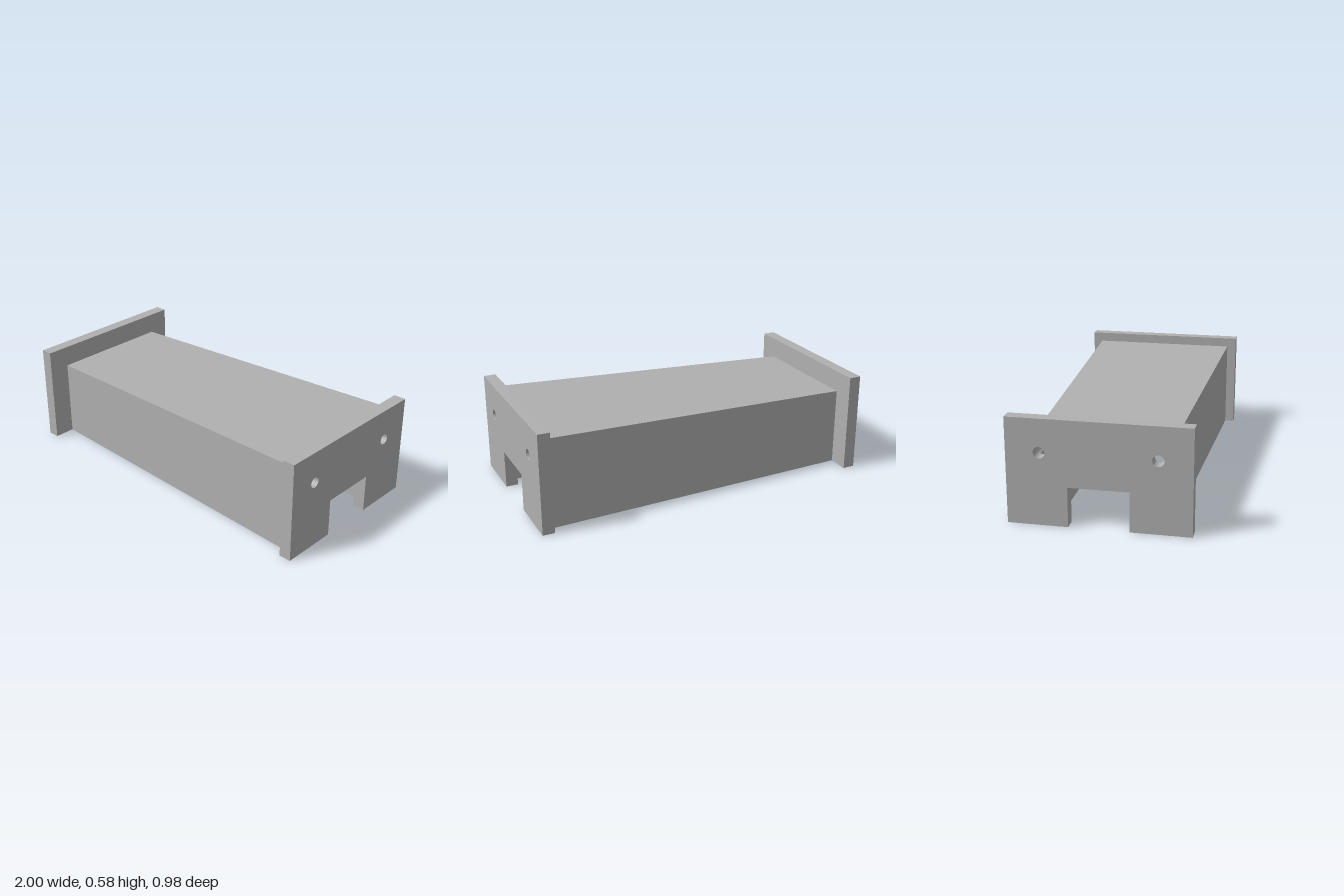
import * as THREE from 'three';
import { toCreasedNormals } from 'three/addons/utils/BufferGeometryUtils.js';

const END = 0.93;                 // inner face of the end plates
const DUCT = { z: 0.31, y: 0.4, r: 0.031 };
const LIP = 0.09;                 // thickness of the bottom flanges
const WALL = 0.045;
const halfWidth = x => 0.4 + 0.035 * x / END;
const topHeight = x => 0.4935 + 0.0335 * x / END;

// Half of the inner outline: wall, corner and ceiling, hollowed by the duct
function innerHalf(x) {
  const w = halfWidth(x) - WALL, h = topHeight(x) - WALL;
  const dz = w - DUCT.z, dy = h - DUCT.y;
  const corner = Math.atan2(dy, dz), n = 14;
  const points = [[w, LIP]];
  for (let i = 0; i <= 2 * n; i++) {
    const a = i <= n
      ? THREE.MathUtils.lerp(-1.2, corner, i / n)
      : THREE.MathUtils.lerp(corner, 2.8, (i - n) / n);
    const c = Math.cos(a), s = Math.sin(a);
    const reach = Math.min(c > 1e-6 ? dz / c : Infinity, s > 1e-6 ? dy / s : Infinity);
    const d = Math.max(DUCT.r, reach);
    points.push([DUCT.z + c * d, DUCT.y + s * d]);
  }
  return points;
}

// Closed tapered cross-section, lofted along x
function shellGeometry() {
  const steps = 24, position = [], index = [];
  let count = 0;
  for (let k = 0; k <= steps; k++) {
    const x = THREE.MathUtils.lerp(-END, END, k / steps);
    const inner = innerHalf(x), w = halfWidth(x), h = topHeight(x);
    const mirrored = inner.map(([z, y]) => [-z, y]).reverse();
    const ring = [...inner, ...mirrored, [-w, LIP], [-w, h], [w, h], [w, LIP]];
    count = ring.length;
    ring.forEach(([z, y]) => position.push(x, y, z));
  }
  for (let k = 0; k < steps; k++) {
    for (let i = 0; i < count; i++) {
      const a = k * count + i, b = k * count + (i + 1) % count;
      index.push(a, b, a + count, b, b + count, a + count);
    }
  }
  const geometry = new THREE.BufferGeometry();
  geometry.setAttribute('position', new THREE.Float32BufferAttribute(position, 3));
  geometry.setIndex(index);
  return toCreasedNormals(geometry, 0.5);
}

function circleHole(x, y, r) {
  return new THREE.Path().absarc(x, y, r, 0, Math.PI * 2, true);
}

function polygon(points) {
  return new THREE.Shape(points.map(([x, y]) => new THREE.Vector2(x, y)));
}

function extrude(shape, depth) {
  const geometry = new THREE.ExtrudeGeometry(shape, { depth, bevelEnabled: false, curveSegments: 16 });
  return toCreasedNormals(geometry, 0.6);
}

export function createModel() {
  const model = new THREE.Group();
  model.name = 'taperedBeam';
  const grey = new THREE.MeshStandardMaterial({ color: 0xb0b0b0 });
  grey.name = 'grey';
  const add = (geometry, name) => {
    const mesh = new THREE.Mesh(geometry, grey);
    mesh.name = name;
    model.add(mesh);
  };

  // Hollow tapered body
  add(shellGeometry(), 'bodyShell');

  // End plates with a slot and two duct holes
  const plate = polygon([
    [-0.49, 0], [-0.163, 0], [-0.163, 0.22], [0.163, 0.22],
    [0.163, 0], [0.49, 0], [0.49, 0.583], [-0.49, 0.583],
  ]);
  for (const s of [-1, 1]) plate.holes.push(circleHole(s * DUCT.z, DUCT.y, DUCT.r));
  for (const [x, name] of [[-1, 'rightEndPlate'], [END, 'leftEndPlate']]) {
    add(extrude(plate, 1 - END).rotateY(Math.PI / 2).translate(x, 0, 0), name);
  }

  for (const s of [-1, 1]) {
    const side = s > 0 ? 'front' : 'back';

    // Bottom flange with four bolt holes
    const flange = polygon([
      [-END, s * 0.24], [END, s * 0.24],
      [END, s * halfWidth(END)], [-END, s * halfWidth(-END)],
    ]);
    for (const x of [-0.75, -0.25, 0.25, 0.75]) flange.holes.push(circleHole(x, s * 0.305, 0.029));
    add(extrude(flange, LIP).rotateX(Math.PI / 2).translate(0, LIP, 0), side + 'Flange');

    // Wall ribs, notched where the duct passes
    for (const x of [-0.5, 0, 0.5]) {
      const outer = halfWidth(x) - WALL + 0.01, top = topHeight(x) - WALL + 0.01;
      const points = [[outer, LIP], [outer, top], [DUCT.z, top]];
      for (let i = 0; i <= 12; i++) {
        const a = Math.PI / 2 - Math.PI * i / 12;
        points.push([DUCT.z + DUCT.r * Math.cos(a), DUCT.y + DUCT.r * Math.sin(a)]);
      }
      points.push([DUCT.z, LIP]);
      const rib = polygon(points.map(([z, y]) => [-s * z, y]));
      add(extrude(rib, 0.03).rotateY(Math.PI / 2).translate(x - 0.015, 0, 0), side + 'Rib');
    }
  }
  return model;
}
